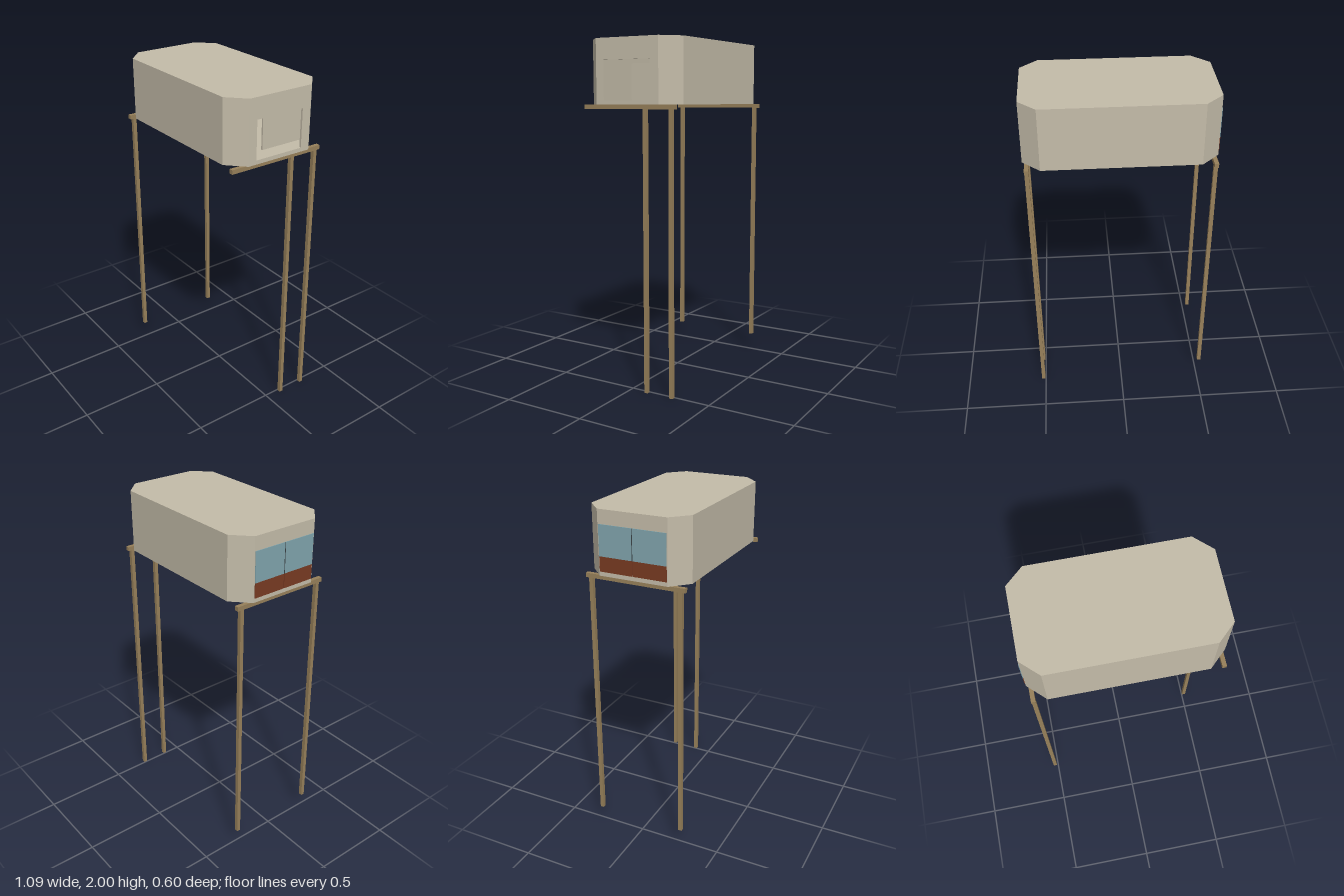
import * as THREE from 'three';

const colour = (name, hex) => {
  const m = new THREE.MeshStandardMaterial({ color: hex });
  m.name = name;
  return m;
};

export function createModel() {
  const beige = colour('beige wall', 0xc4bca9);
  const wood = colour('wood', 0x97805a);
  const glass = colour('blue glass', 0x80a4ac);
  const brown = colour('red brown', 0x783a22);
  const dark = colour('dark grey', 0x3c4448);

  const model = new THREE.Group();
  model.name = 'raisedCabin';

  const box = (name, mat, [x0, x1], [y0, y1], [z0, z1], parent = model) => {
    const m = new THREE.Mesh(new THREE.BoxGeometry(x1 - x0, y1 - y0, z1 - z0), mat);
    m.position.set((x0 + x1) / 2, (y0 + y1) / 2, (z0 + z1) / 2);
    m.name = name;
    parent.add(m);
    return m;
  };

  // Octagonal plan, anticlockwise seen from above, as [x, z]
  const plan = [
    [-0.44, 0.3], [0.44, 0.3], [0.54, 0.205], [0.54, -0.205],
    [0.44, -0.3], [-0.44, -0.3], [-0.54, -0.205], [-0.54, 0.205],
  ];
  const floorY = 1.635, floorTop = 1.655, ceilingY = 1.985, roofY = 2, wallT = 0.012;

  const cabin = new THREE.Group();
  cabin.name = 'cabin';
  model.add(cabin);

  // Floor and roof slabs
  const slab = (name, y0, y1) => {
    const shape = new THREE.Shape(plan.map(([x, z]) => new THREE.Vector2(x, -z)));
    const geo = new THREE.ExtrudeGeometry(shape, { depth: y1 - y0, bevelEnabled: false });
    geo.rotateX(-Math.PI / 2);
    const m = new THREE.Mesh(geo, beige);
    m.position.y = y0;
    m.name = name;
    cabin.add(m);
  };
  slab('floor', floorY, floorTop);
  slab('roof', ceilingY, roofY);

  // Walls: one panel per plan edge, extruded inwards, with an opening at each end
  const rect = (P, s0, s1, y0, y1) => {
    const p = new P();
    p.moveTo(s0, y0); p.lineTo(s1, y0); p.lineTo(s1, y1); p.lineTo(s0, y1); p.closePath();
    return p;
  };
  const openings = { 2: [0.05, 0.355, 1.658, 1.88], 6: [0.012, 0.398, 1.665, 1.92] };
  plan.forEach((a, i) => {
    const b = plan[(i + 1) % plan.length];
    const dx = b[0] - a[0], dz = b[1] - a[1];
    const shape = rect(THREE.Shape, 0, Math.hypot(dx, dz), floorTop, ceilingY);
    if (openings[i]) shape.holes.push(rect(THREE.Path, ...openings[i]));
    const geo = new THREE.ExtrudeGeometry(shape, { depth: wallT, bevelEnabled: false });
    geo.translate(0, 0, -wallT);
    const m = new THREE.Mesh(geo, beige);
    m.position.set(a[0], 0, a[1]);
    m.rotation.y = Math.atan2(-dz, dx);
    m.name = i === 2 ? 'doorwayWall' : i === 6 ? 'windowWall' : i % 2 ? 'cornerWall' : 'sideWall';
    cabin.add(m);
  });

  // End window: two panes above two lower panels
  for (const s of [-1, 1]) {
    const z = s < 0 ? [-0.2, -0.002] : [0.002, 0.2];
    box('windowPane', glass, [-0.544, -0.536], [1.745, 1.92], z, cabin);
    box('lowerPanel', brown, [-0.544, -0.536], [1.66, 1.745], z, cabin);
  }
  box('windowBar', dark, [-0.545, -0.537], [1.745, 1.92], [-0.002, 0.002], cabin);

  // Inside: partition behind the doorway, a seat and small fittings
  box('partition', beige, [0.43, 0.44], [floorTop, 1.862], [-0.29, 0.035], cabin);
  box('seatBase', brown, [-0.3, -0.2], [floorTop, 1.70], [0.03, 0.11], cabin);
  box('seatBack', brown, [-0.2, -0.19], [floorTop, 1.76], [0.03, 0.08], cabin);
  box('console', dark, [-0.46, -0.4], [floorTop, 1.70], [0.115, 0.16], cabin);
  box('hangingShelf', brown, [-0.5, -0.42], [1.865, ceilingY], [-0.2, -0.11], cabin);

  // Cross beams and posts
  for (const [x, base, posts] of [[-0.517, 0.1, [0.27, -0.27]], [0.515, 0, [-0.105, -0.27]]]) {
    box('crossBeam', wood, [x - 0.012, x + 0.012], [1.61, floorY], [-0.3, 0.3]);
    for (const z of posts) {
      box('post', wood, [x - 0.0115, x + 0.0115], [base, 1.61], [z - 0.011, z + 0.011]);
    }
  }
  return model;
}
